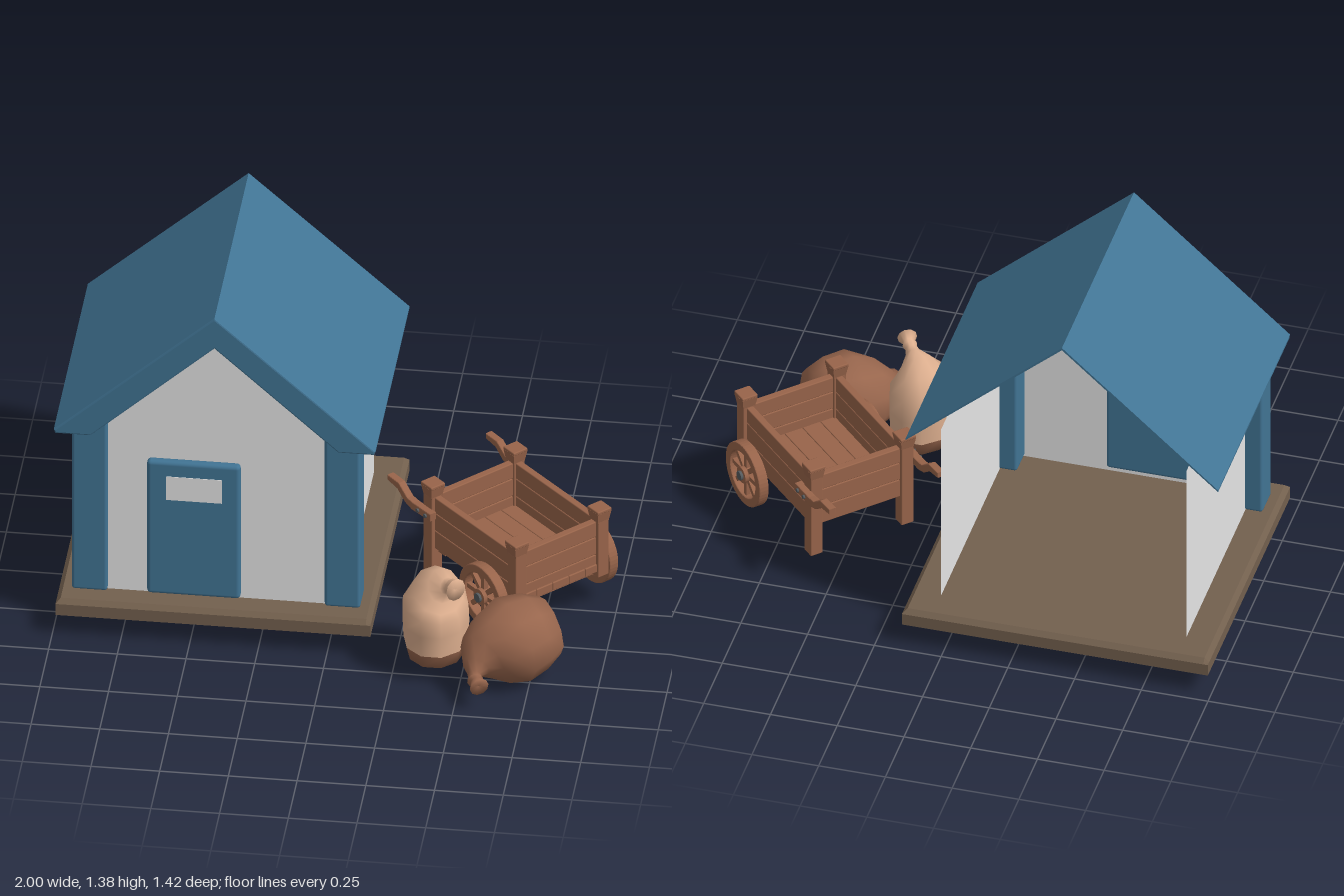
import * as THREE from 'three';
import { RoundedBoxGeometry } from 'three/addons/geometries/RoundedBoxGeometry.js';

const mat = (name, color, side = THREE.FrontSide) => {
  const m = new THREE.MeshStandardMaterial({ color, side });
  m.name = name;
  return m;
};

export function createModel() {
  const blue = mat('bluePaint', 0x417494);
  const grey = mat('paleWall', 0xe5e5e5, THREE.DoubleSide);
  const earth = mat('baseBrown', 0x73604e, THREE.DoubleSide);
  const wood = mat('cartWood', 0x98644a);
  const brownCloth = mat('brownSackcloth', 0x98664d);
  const paleCloth = mat('paleSackcloth', 0xdcae8e);
  const iron = mat('iron', 0x565b5e);

  const model = new THREE.Group();
  model.name = 'hutWithCart';

  const add = (parent, name, geo, material, x = 0, y = 0, z = 0) => {
    const mesh = new THREE.Mesh(geo, material);
    mesh.name = name;
    mesh.position.set(x, y, z);
    parent.add(mesh);
    return mesh;
  };
  // Box given by its limits, with optional rounded edges
  const box = (parent, name, material, [x0, x1], [y0, y1], [z0, z1], r = 0) => {
    const size = [x1 - x0, y1 - y0, z1 - z0];
    const geo = r ? new RoundedBoxGeometry(...size, 2, r) : new THREE.BoxGeometry(...size);
    return add(parent, name, geo, material, (x0 + x1) / 2, (y0 + y1) / 2, (z0 + z1) / 2);
  };
  const polygon = (pts) => new THREE.Shape(pts.map(([x, y]) => new THREE.Vector2(x, y)));
  const extrude = (shape, depth, bevel = 0) => new THREE.ExtrudeGeometry(shape, {
    depth, bevelEnabled: bevel > 0, bevelSize: bevel, bevelOffset: -bevel,
    bevelThickness: bevel, bevelSegments: 2, curveSegments: 24,
  });
  const flat = (geo) => {
    const g = geo.toNonIndexed();
    g.computeVertexNormals();
    return g;
  };

  // ---------- Hut ----------
  const hut = new THREE.Group();
  hut.name = 'hut';
  hut.position.x = -0.415;
  model.add(hut);

  // Base: a floor sheet folded down over a bevel to a skirt, open underneath
  const base = new THREE.PlaneGeometry(1, 1, 5, 5);
  const xs = [-0.573, -0.573, -0.556, 0.556, 0.573, 0.573];
  const zs = [-0.71, -0.71, -0.693, 0.383, 0.4, 0.4];
  for (let i = 0; i < 36; i++) {
    const a = i % 6, b = Math.floor(i / 6);
    const fold = Math.min(a, 5 - a, b, 5 - b);
    base.attributes.position.setXYZ(i, xs[a], [0.085, 0.132, 0.15][fold], zs[b]);
  }
  add(hut, 'base', flat(base), earth);

  // Thin walls, open at the back
  const gable = polygon([[-0.46, 0.15], [0.46, 0.15], [0.46, 0.92], [0, 1.33], [-0.46, 0.92]]);
  add(hut, 'frontWall', new THREE.ShapeGeometry(gable), grey, 0, 0, 0.3);
  for (const s of [-1, 1]) {
    const wall = add(hut, 'sideWall', new THREE.PlaneGeometry(0.89, 0.75), grey, s * 0.46, 0.525, -0.145);
    wall.rotation.y = s * Math.PI / 2;
    box(hut, 'cornerPillar', blue, [s * 0.46 - 0.065, s * 0.46 + 0.065], [0.149, 0.9], [0.2, 0.32], 0.012);
  }

  // Door with its small window
  box(hut, 'door', blue, [-0.25, 0.09], [0.16, 0.73], [0.295, 0.332], 0.015);
  box(hut, 'doorWindow', grey, [-0.18, 0.025], [0.57, 0.67], [0.328, 0.334]);

  // Front bargeboard and the thin roof sheet behind it
  const barge = polygon([[-0.58, 0.84], [-0.45, 0.84], [0, 1.25], [0.45, 0.84],
    [0.58, 0.84], [0.585, 0.855], [0, 1.38], [-0.585, 0.855]]);
  add(hut, 'bargeboard', extrude(barge, 0.05, 0.006), blue, 0, 0, 0.304);
  const sheet = polygon([[-0.585, 0.847], [0, 1.37], [0.585, 0.847], [0.585, 0.855], [0, 1.38], [-0.585, 0.855]]);
  add(hut, 'roofSheet', extrude(sheet, 0.965), blue, 0, 0, -0.615);

  // ---------- Cart: local +x points to the handles ----------
  const cart = new THREE.Group();
  cart.name = 'cart';
  cart.position.set(0.6325, 0, -0.037);
  cart.rotation.y = Math.PI * 0.75;
  model.add(cart);

  // Floor planks and cross bearers
  for (let i = 0; i < 5; i++) {
    const z = (i - 2) * 0.074;
    box(cart, 'floorPlank', wood, [-0.265, 0.25], [0.192, 0.225], [z - 0.0365, z + 0.0365], 0.003);
  }
  for (const x of [-0.22, -0.135, 0.2]) {
    box(cart, 'bearer', wood, [x - 0.02, x + 0.02], [0.17, 0.197], [-0.185, 0.185]);
  }
  // Planked sides and ends
  for (const [y0, y1] of [[0.188, 0.264], [0.265, 0.339], [0.34, 0.405]]) {
    for (const s of [-1, 1]) {
      box(cart, 'sidePlank', wood, [-0.25, 0.25], [y0, y1], [s * 0.185 - 0.014, s * 0.185 + 0.014], 0.004);
      box(cart, 'endPlank', wood, [s * 0.245 - 0.014, s * 0.245 + 0.014], [y0, y1], [-0.185, 0.185], 0.004);
    }
  }
  // Corner posts with flared caps; the pair at the handles reaches the ground as legs
  const cap = flat(new THREE.CylinderGeometry(0.044, 0.03, 0.06, 4).rotateY(Math.PI / 4));
  const handle = polygon([[0.2, 0.33], [0.31, 0.326], [0.35, 0.338], [0.395, 0.373], [0.452, 0.381],
    [0.452, 0.403], [0.385, 0.401], [0.335, 0.363], [0.3, 0.359], [0.2, 0.36]]);
  for (const s of [-1, 1]) {
    for (const x of [-0.248, 0.248]) {
      const z = s * 0.188;
      box(cart, 'cornerPost', wood, [x - 0.025, x + 0.025], [x > 0 ? 0.065 : 0.17, 0.41], [z - 0.025, z + 0.025], 0.004);
      add(cart, 'postCap', cap, wood, x, 0.415, z);
      box(cart, 'postTop', wood, [x - 0.032, x + 0.032], [0.444, 0.457], [z - 0.032, z + 0.032], 0.004);
    }
    // Handle and its bolts
    add(cart, 'handle', extrude(handle, 0.022, 0.004), wood, 0, 0, s * 0.224 - 0.011);
    for (const x of [0.225, 0.27]) {
      const bolt = add(cart, 'bolt', new THREE.CylinderGeometry(0.008, 0.008, 0.01, 8), iron, x, 0.344, s * 0.241);
      bolt.rotation.x = Math.PI / 2;
    }
  }

  // Wheels on one axle
  const ring = new THREE.Shape().absarc(0, 0, 0.125, 0, Math.PI * 2);
  ring.holes.push(new THREE.Path().absarc(0, 0, 0.092, 0, Math.PI * 2, true));
  const rim = extrude(ring, 0.032, 0.004);
  const axle = add(cart, 'axle', new THREE.CylinderGeometry(0.014, 0.014, 0.5, 10), wood, -0.133, 0.19, 0);
  axle.rotation.x = Math.PI / 2;
  for (const s of [-1, 1]) {
    const wheel = new THREE.Group();
    wheel.name = 'wheel';
    wheel.position.set(-0.133, 0.19, s * 0.248);
    cart.add(wheel);
    add(wheel, 'rim', rim, wood, 0, 0, -0.016);
    for (let i = 0; i < 4; i++) {
      const spoke = add(wheel, 'spokePair', new THREE.BoxGeometry(0.2, 0.018, 0.018), wood);
      spoke.rotation.z = i * Math.PI / 4;
    }
    const hub = add(wheel, 'hub', new THREE.CylinderGeometry(0.032, 0.032, 0.05, 14), wood);
    const pin = add(wheel, 'hubPin', new THREE.CylinderGeometry(0.018, 0.018, 0.012, 10), iron, 0, 0, s * 0.029);
    hub.rotation.x = pin.rotation.x = Math.PI / 2;
  }

  // ---------- Sacks: rings [x, y, z, radius] swept from the bottom to the tied mouth ----------
  const sack = (name, material, rings, stretchZ = 1, sides = 10) => {
    const pos = [], idx = [];
    const centres = rings.map(([x, y, z]) => new THREE.Vector3(x, y, z));
    const up = new THREE.Vector3(0, 1, 0);
    rings.forEach(([, , , r], i) => {
      const from = centres[Math.max(i - 1, 0)], to = centres[Math.min(i + 1, rings.length - 1)];
      const q = new THREE.Quaternion().setFromUnitVectors(up, to.clone().sub(from).normalize());
      for (let j = 0; j < sides; j++) {
        const t = j / sides * Math.PI * 2;
        const p = new THREE.Vector3(Math.cos(t) * r, 0, Math.sin(t) * r * stretchZ).applyQuaternion(q).add(centres[i]);
        pos.push(p.x, p.y, p.z);
        if (i === rings.length - 1) continue;
        const a = i * sides + j, b = i * sides + (j + 1) % sides;
        idx.push(a, a + sides, b, b, a + sides, b + sides);
      }
    });
    const geo = new THREE.BufferGeometry();
    geo.setAttribute('position', new THREE.Float32BufferAttribute(pos, 3));
    geo.setIndex(idx);
    geo.computeVertexNormals();
    return add(model, name, geo, material);
  };
  // Upright sack with a darker bottom
  sack('paleSackBottom', brownCloth, [
    [0.4, 0.065, 0.43, 0.001], [0.4, 0.068, 0.43, 0.105], [0.4, 0.122, 0.43, 0.118],
  ], 1.18);
  sack('paleSack', paleCloth, [
    [0.4, 0.122, 0.43, 0.118], [0.4, 0.21, 0.43, 0.122], [0.4, 0.285, 0.435, 0.12],
    [0.41, 0.335, 0.445, 0.095], [0.428, 0.368, 0.463, 0.058], [0.448, 0.384, 0.487, 0.028],
    [0.46, 0.392, 0.503, 0.021], [0.468, 0.398, 0.513, 0.027], [0.474, 0.402, 0.522, 0.021],
    [0.487, 0.408, 0.545, 0.036], [0.484, 0.406, 0.538, 0.001],
  ], 1.18);
  // Sack lying on its side
  sack('brownSack', brownCloth, [
    [0.812, 0.182, 0.382, 0.001], [0.808, 0.181, 0.385, 0.112], [0.755, 0.173, 0.42, 0.146],
    [0.685, 0.163, 0.47, 0.164], [0.622, 0.148, 0.52, 0.139], [0.585, 0.135, 0.56, 0.1],
    [0.568, 0.12, 0.605, 0.052], [0.567, 0.107, 0.635, 0.026], [0.569, 0.102, 0.65, 0.023],
    [0.572, 0.1, 0.66, 0.03], [0.577, 0.099, 0.67, 0.022], [0.592, 0.096, 0.697, 0.036],
    [0.588, 0.096, 0.69, 0.001],
  ]);

  return model;
}
